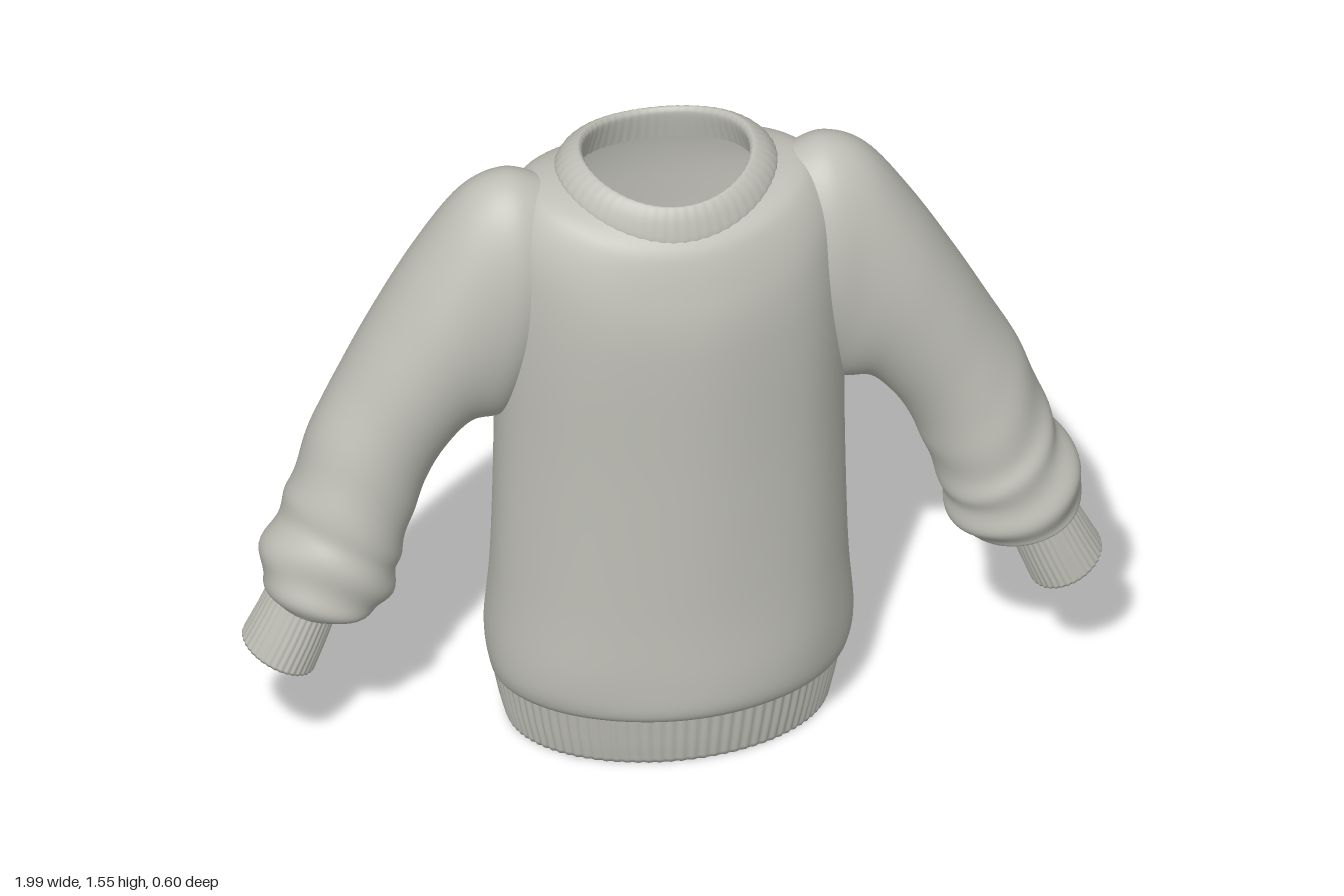
import * as THREE from 'three';

const wool = new THREE.MeshStandardMaterial({ color: 0xbebeb6, side: THREE.DoubleSide });
wool.name = 'warm grey wool';

// Smooth interpolation through a list of cross-sections, t in 0..1
function sample(rows, t) {
  const n = rows.length - 1;
  const i = Math.min(Math.floor(t * n + 1e-6), n - 1);
  const f = t * n - i;
  const row = (k) => rows[Math.max(0, Math.min(n, k))];
  return rows[i].map((p1, c) => {
    const p0 = row(i - 1)[c], p2 = row(i + 1)[c], p3 = row(i + 2)[c];
    return p1 + 0.5 * f * (p2 - p0 + f * (2 * p0 - 5 * p1 + 4 * p2 - p3 + f * (3 * (p1 - p2) + p3 - p0)));
  });
}

// Skin of closed rings; point(section, angle, t) gives one vertex
function loft(name, rows, nu, nv, point) {
  const pos = [], idx = [];
  for (let v = 0; v <= nv; v++) {
    const section = sample(rows, v / nv);
    for (let u = 0; u < nu; u++) {
      pos.push(...point(section, (u / nu) * Math.PI * 2, v / nv));
      if (v === nv) continue;
      const a = v * nu + u, b = v * nu + (u + 1) % nu;
      idx.push(a, a + nu, b, b, a + nu, b + nu);
    }
  }
  const g = new THREE.BufferGeometry();
  g.setAttribute('position', new THREE.Float32BufferAttribute(pos, 3));
  g.setIndex(idx);
  g.computeVertexNormals();
  const mesh = new THREE.Mesh(g, wool);
  mesh.name = name;
  return mesh;
}

// Torso section: [half width, y at sides, y at front/back, front depth, back depth]
function torsoPoint([rx, ys, yf, zf, zb], a, k = 1) {
  const s = Math.sin(a), c = Math.cos(a);
  return [rx * c * k, ys + (yf - ys) * s * s, (zf - zb) / 2 + (zf + zb) / 2 * s * k];
}

// Sleeve section: [outer x, outer y, inner x, inner y, z centre, z radius]
function sleevePoint([ox, oy, ix, iy, zc, rz], a, side, k = 1) {
  const c = 0.5 * Math.cos(a) * k;
  return [
    side * ((ox + ix) / 2 + (ox - ix) * c),
    (oy + iy) / 2 + (oy - iy) * c,
    zc - side * rz * Math.sin(a) * k,
  ];
}

const rib = (a, count, depth) => 1 + depth * Math.cos(a * count);

const bodyRows = [
  [0.392, 0.13, 0.13, 0.258, 0.268],
  [0.412, 0.165, 0.16, 0.295, 0.288],
  [0.424, 0.25, 0.25, 0.303, 0.298],
  [0.411, 0.45, 0.45, 0.295, 0.27],
  [0.403, 0.8, 0.8, 0.29, 0.262],
  [0.405, 1.1, 1.08, 0.29, 0.26],
  [0.4, 1.28, 1.22, 0.283, 0.262],
  [0.385, 1.4, 1.32, 0.262, 0.26],
  [0.33, 1.48, 1.4, 0.235, 0.25],
  [0.25, 1.5, 1.44, 0.205, 0.235],
];

// Inner top, inner bottom, outer bottom, outer top
const hemRows = [
  [0.375, 0.14, 0.14, 0.24, 0.25],
  [0.345, 0.01, 0.01, 0.22, 0.22],
  [0.352, 0, 0, 0.227, 0.227],
  [0.364, 0, 0, 0.238, 0.238],
  [0.37, 0.012, 0.012, 0.243, 0.243],
  [0.385, 0.07, 0.07, 0.252, 0.262],
  [0.4, 0.145, 0.145, 0.262, 0.275],
];

// Outer seam up over the rim and down inside
const collarRows = [
  [0.25, 1.49, 1.42, 0.21, 0.238],
  [0.254, 1.502, 1.435, 0.213, 0.244],
  [0.235, 1.527, 1.48, 0.2, 0.236],
  [0.206, 1.545, 1.506, 0.183, 0.216],
  [0.194, 1.54, 1.502, 0.174, 0.206],
  [0.192, 1.52, 1.485, 0.172, 0.204],
  [0.21, 1.46, 1.42, 0.185, 0.215],
];

const sleeveRows = [
  [0.28, 1.488, 0.3, 1.02, -0.01, 0.14],
  [0.37, 1.515, 0.35, 0.94, -0.012, 0.165],
  [0.47, 1.468, 0.39, 0.87, -0.015, 0.168],
  [0.575, 1.325, 0.46, 0.862, -0.015, 0.166],
  [0.675, 1.155, 0.52, 0.8, -0.015, 0.16],
  [0.75, 1.015, 0.56, 0.73, -0.012, 0.155],
  [0.82, 0.88, 0.588, 0.655, 0, 0.152],
  [0.868, 0.745, 0.618, 0.57, 0.015, 0.152],
  [0.9, 0.665, 0.632, 0.51, 0.03, 0.15],
  [0.948, 0.57, 0.655, 0.445, 0.042, 0.146],
  [0.942, 0.49, 0.71, 0.418, 0.048, 0.13],
  [0.925, 0.468, 0.785, 0.425, 0.052, 0.095],
];

// Outer top, outer end, then back up inside
const cuffRows = [
  [0.925, 0.487, 0.775, 0.425, 0.052, 0.095],
  [0.96, 0.415, 0.803, 0.345, 0.054, 0.097],
  [0.993, 0.352, 0.829, 0.277, 0.055, 0.1],
  [0.993, 0.345, 0.833, 0.27, 0.055, 0.098],
  [0.982, 0.341, 0.844, 0.277, 0.055, 0.086],
  [0.978, 0.35, 0.84, 0.287, 0.055, 0.084],
  [0.915, 0.48, 0.788, 0.425, 0.052, 0.08],
];

export function createModel() {
  const group = new THREE.Group();
  group.name = 'sweater';

  // Body with soft folds gathering towards the hem
  group.add(loft('body', bodyRows, 120, 72, (s, a, t) => {
    const low = Math.exp(-(((t - 0.2) / 0.12) ** 2));
    const k = 1 + 0.008 * low * Math.sin(5 * a + 9 * t) + 0.004 * Math.sin(Math.PI * t) * Math.sin(9 * a + 2 * t);
    return torsoPoint(s, a, k);
  }));

  // Ribbed hem and collar
  group.add(loft('hem', hemRows, 450, hemRows.length - 1, (s, a) => torsoPoint(s, a, rib(a, 90, 0.007))));
  group.add(loft('collar', collarRows, 240, 24, (s, a) => torsoPoint(s, a, rib(a, 60, 0.003))));

  // Sleeves with bunched folds above ribbed cuffs
  for (const [side, label] of [[1, 'left'], [-1, 'right']]) {
    group.add(loft(label + 'Sleeve', sleeveRows, 64, 88, (s, a, t) => {
      const bunch = THREE.MathUtils.smoothstep(t, 0.45, 0.8) * (1 - THREE.MathUtils.smoothstep(t, 0.92, 1));
      const k = 1 + 0.035 * bunch * Math.sin(50 * t + 1.6 * Math.sin(a) + 0.8 * Math.sin(2 * a + side))
        + 0.008 * Math.sin(Math.PI * t) * Math.sin(3 * a + 12 * t);
      return sleevePoint(s, a, side, k);
    }));
    group.add(loft(label + 'Cuff', cuffRows, 180, cuffRows.length - 1,
      (s, a) => sleevePoint(s, a, side, rib(a, 36, 0.015))));
  }
  return group;
}
